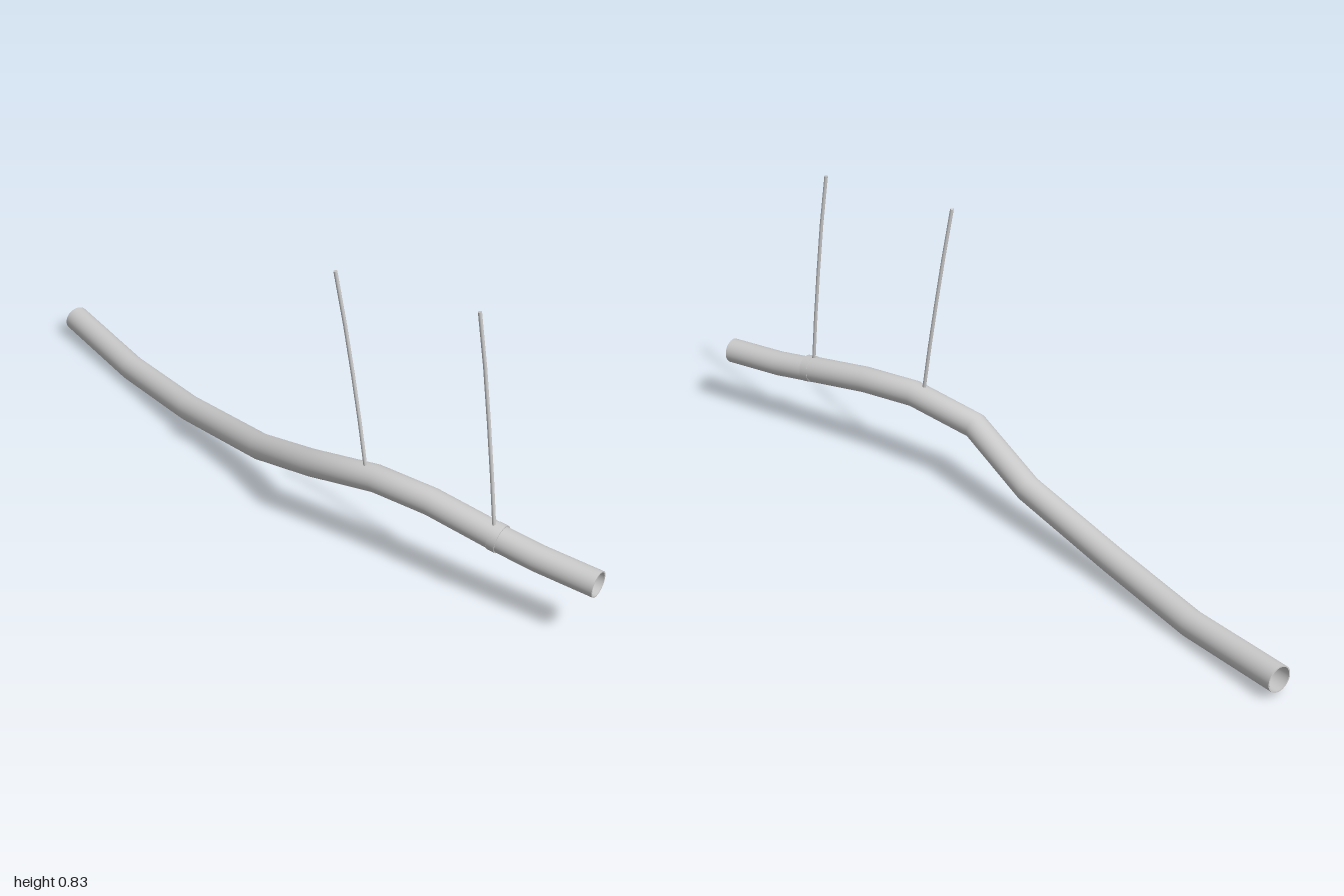
import * as THREE from 'three';

const V = (x, y, z) => new THREE.Vector3(x, y, z);

// Straight runs joined at mitred bends; each path point gets one ring of the tube
class BentPath extends THREE.Curve {
  constructor(points) {
    super();
    this.points = points;
  }
  getPoint(t, target = V(0, 0, 0)) {
    const last = this.points.length - 1;
    const i = Math.min(Math.floor(t * last + 1e-6), last - 1);
    return target.lerpVectors(this.points[i], this.points[i + 1], t * last - i);
  }
  getPointAt(u, target) {
    return this.getPoint(u, target);
  }
  getTangentAt(u, target = V(0, 0, 0)) {
    const p = this.points, last = p.length - 1;
    const i = Math.round(u * last);
    const a = Math.max(i - 1, 0), b = Math.min(i + 1, last);
    const into = p[i].clone().sub(p[a]).normalize();
    const out = p[b].clone().sub(p[i]).normalize();
    return target.copy(into.add(out)).normalize();
  }
}

const material = new THREE.MeshStandardMaterial({ color: 0xcccccc, side: THREE.DoubleSide });

function addMesh(group, name, geometry) {
  const mesh = new THREE.Mesh(geometry, material);
  mesh.name = name;
  group.add(mesh);
  return mesh;
}

// Flat ring (or disc, when inner is 0) closing the wall at one end of a path
function addEnd(group, name, path, u, inner, outer, sides) {
  const geometry = inner > 0
    ? new THREE.RingGeometry(inner, outer, sides)
    : new THREE.CircleGeometry(outer, sides);
  const end = addMesh(group, name, geometry);
  const facing = path.getTangentAt(u).multiplyScalar(u === 0 ? -1 : 1);
  end.quaternion.setFromUnitVectors(V(0, 0, 1), facing);
  end.position.copy(path.getPointAt(u));
}

function hollowPipe(name, points, inner, outer, sides = 32) {
  const group = new THREE.Group();
  group.name = name;
  const path = new BentPath(points);
  const steps = points.length - 1;
  addMesh(group, name + 'Outside', new THREE.TubeGeometry(path, steps, outer, sides));
  addMesh(group, name + 'Inside', new THREE.TubeGeometry(path, steps, inner, sides));
  for (const u of [0, 1]) addEnd(group, name + 'Rim', path, u, inner, outer, sides);
  return group;
}

function wire(name, points) {
  const group = new THREE.Group();
  group.name = name;
  const path = new BentPath(points);
  addMesh(group, name + 'Rod', new THREE.TubeGeometry(path, points.length - 1, 0.005, 12));
  for (const u of [0, 1]) addEnd(group, name + 'Cap', path, u, 0, 0.005, 12);
  return group;
}

export function createModel() {
  const model = new THREE.Group();
  model.name = 'suspendedPipe';

  // Long bent pipe, from the joint to the back end
  model.add(hollowPipe('mainPipe', [
    V(0.011, 0.206, 0.73),
    V(-0.024, 0.233, 0.53),
    V(-0.056, 0.238, 0.37),
    V(-0.089, 0.202, 0.17),
    V(-0.05, 0.118, -0.06),
    V(-0.01, 0.065, -0.39),
    V(0.038, 0.038, -0.69),
    V(0.085, 0.053, -0.995),
  ], 0.033, 0.0365));

  // Short front pipe, pushed into the main pipe
  model.add(hollowPipe('frontPipe', [
    V(0.064, 0.185, 0.995),
    V(0.032, 0.192, 0.83),
    V(0.006, 0.208, 0.7),
  ], 0.0315, 0.035));

  // Thin lip around the joint
  model.add(hollowPipe('jointLip', [V(0.011, 0.206, 0.733), V(0.007, 0.209, 0.71)], 0.035, 0.038));

  // Two slightly curved hanger wires
  model.add(wire('frontHangerWire', [
    V(0.004, 0.235, 0.713),
    V(0.006, 0.38, 0.694),
    V(0.005, 0.53, 0.675),
    V(0.001, 0.68, 0.657),
    V(-0.008, 0.83, 0.639),
  ]));
  model.add(wire('rearHangerWire', [
    V(-0.064, 0.262, 0.34),
    V(-0.068, 0.4, 0.319),
    V(-0.075, 0.53, 0.3),
    V(-0.086, 0.67, 0.281),
    V(-0.103, 0.821, 0.262),
  ]));

  return model;
}
